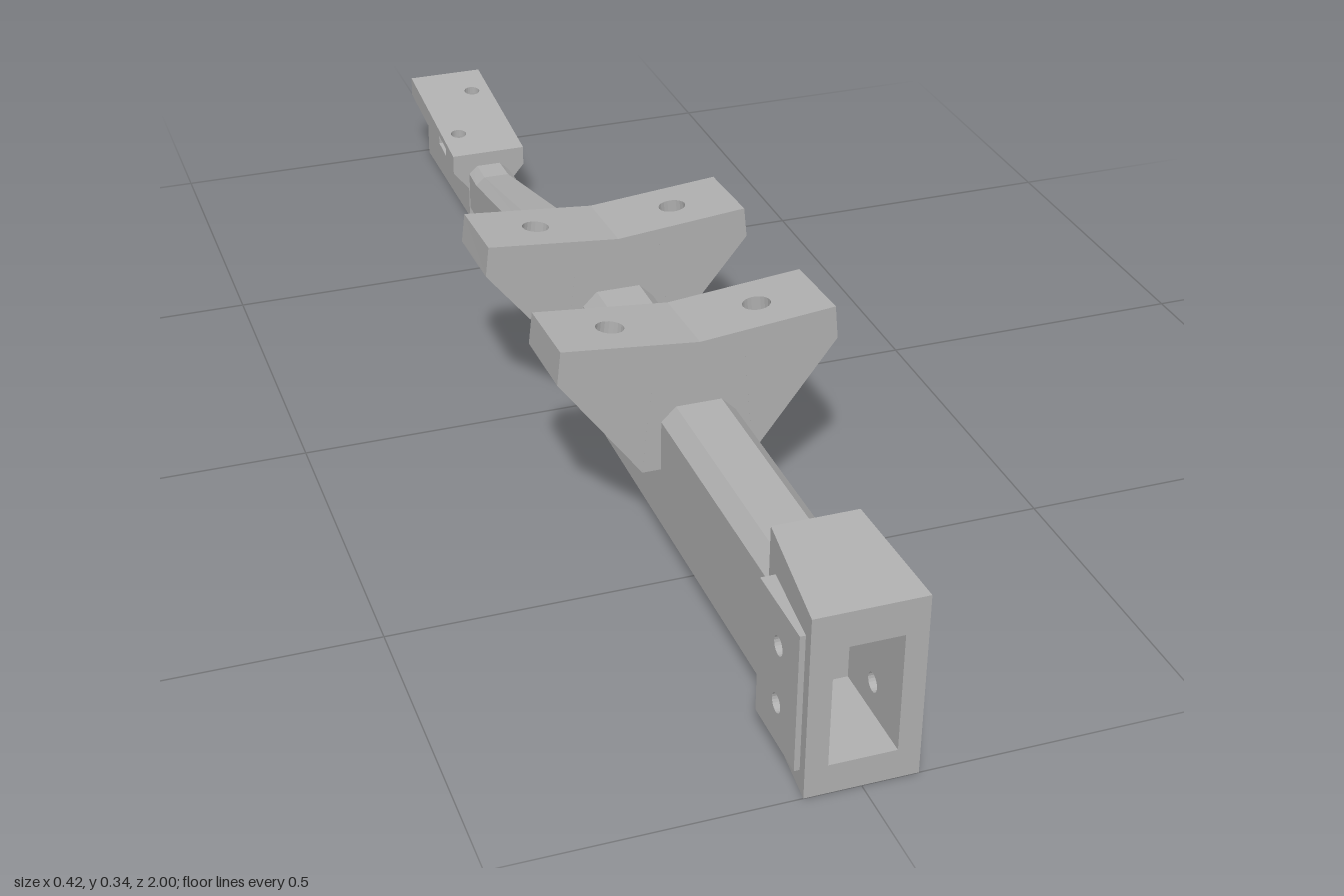
import * as THREE from 'three';

const grey = new THREE.MeshStandardMaterial({ color: 0xb0b0b0 });
grey.name = 'plain grey';

function polygon(points) {
  return new THREE.Shape(points.map(([x, y]) => new THREE.Vector2(x, y)));
}

function addHole(shape, x, y, r, sides = 20) {
  const pts = [];
  for (let i = 0; i < sides; i++) {
    const a = (i / sides) * Math.PI * 2;
    pts.push(new THREE.Vector2(x + r * Math.cos(a), y + r * Math.sin(a)));
  }
  shape.holes.push(new THREE.Path(pts));
  return shape;
}

function extrude(shape, depth) {
  return new THREE.ExtrudeGeometry(shape, { depth, bevelEnabled: false });
}

// Move every vertex by a rule, then refresh the flat normals
function reshape(geo, rule) {
  const p = geo.attributes.position;
  for (let i = 0; i < p.count; i++) p.setXYZ(i, ...rule(p.getX(i), p.getY(i), p.getZ(i)));
  geo.computeVertexNormals();
  return geo;
}

// Extrude a side profile given as (-z, y) across x0..x1
function acrossX(shape, x0, x1) {
  return extrude(shape, x1 - x0).rotateY(Math.PI / 2).translate(x0, 0, 0);
}

function add(group, name, geo) {
  const mesh = new THREE.Mesh(geo, grey);
  mesh.name = name;
  group.add(mesh);
}

function subgroup(parent, name) {
  const g = new THREE.Group();
  g.name = name;
  parent.add(g);
  return g;
}

// Eight-sided tapering beam: z, half width, top, shoulder, flat half width, lower chamfer
function beamGeometry() {
  const stations = [
    [0.83, 0.057, 0.222, 0.2, 0.035, 0.03],
    [-0.1, 0.057, 0.222, 0.2, 0.035, 0.027],
    [-0.65, 0.038, 0.1, 0.086, 0.022, 0.019],
    [-0.72, 0.036, 0.1, 0.086, 0.021, 0.018],
  ];
  const pos = [], index = [];
  for (const [z, w, top, sh, f, c] of stations) {
    const ring = [[f, 0], [w, c], [w, sh], [f, top], [-f, top], [-w, sh], [-w, c], [-f, 0]];
    for (const [x, y] of ring) pos.push(x, y, z);
  }
  for (let s = 0; s < stations.length - 1; s++) {
    for (let i = 0; i < 8; i++) {
      const a = s * 8 + i, b = s * 8 + (i + 1) % 8;
      index.push(a, a + 8, b, b, a + 8, b + 8);
    }
  }
  const geo = new THREE.BufferGeometry();
  geo.setAttribute('position', new THREE.Float32BufferAttribute(pos, 3));
  geo.setIndex(index);
  const flat = geo.toNonIndexed();
  flat.computeVertexNormals();
  return flat;
}

// Hollow socket at the front end with drilled side plates
function buildSocket(parent) {
  const g = subgroup(parent, 'frontSocket');
  add(g, 'socketCore', acrossX(polygon([
    [-1, 0], [-0.82, 0], [-0.82, 0.295], [-1, 0.278],
    [-1, 0.225], [-0.84, 0.225], [-0.84, 0.045], [-1, 0.045],
  ]), -0.048, 0.048));
  const drill = (s) => [0.09, 0.18].reduce((sh, y) => addHole(sh, -0.915, y, 0.014), s);
  for (const side of [1, -1]) {
    const wall = drill(polygon([[-1, 0], [-0.82, 0], [-0.82, 0.295], [-1, 0.278]]));
    const plate = drill(polygon([[-0.98, 0.03], [-0.848, 0.03], [-0.848, 0.24], [-0.98, 0.24]]));
    const span = (a, b) => (side > 0 ? [a, b] : [-b, -a]);
    add(g, 'socketWall', reshape(acrossX(wall, ...span(0.048, 0.08)), (x, y, z) =>
      [Math.abs(x) > 0.06 ? side * (0.08 - (1 - z) * 0.1) : x, y, z]));
    add(g, 'sidePlate', acrossX(plate, ...span(0.05, 0.086)));
  }
}

// V-shaped saddle with tilted bolt holes and hexagonal nut pockets
function buildSaddle(parent, name, zMid, heightScale) {
  const g = subgroup(parent, name);
  const half = 0.068, k = 1.339;
  const fit = (x, y, z) => [x, 0.12 + (y - 0.12) * (heightScale + 0.27 * z), z + zMid];
  const core = extrude(polygon([
    [-0.0858, 0.12], [0.0858, 0.12], [0.065, 0.3285], [0, 0.322], [-0.065, 0.3285],
  ]), half * 2).translate(0, 0, -half);
  add(g, 'saddleCore', reshape(core, fit));

  const top = () => 0;
  const seat = () => 0.05;
  const under = (u) => (0.202 + 0.1 * u - k * (u - 0.085)) / (1 + 0.1 * k);
  const layers = [['saddleWing', top, seat, 0.021, 20], ['nutPocketWing', seat, under, 0.034, 6]];
  for (const side of [1, -1]) {
    for (const [part, from, to, r, sides] of layers) {
      const shape = addHole(polygon([[0.065, -half], [0.207, -half], [0.207, half], [0.065, half]]),
        0.112, 0, r, sides);
      add(g, part, reshape(extrude(shape, 1), (u, w, s) => {
        const t = from(u) * (1 - s) + to(u) * s;
        return fit(side * (u + 0.1 * t), 0.322 + 0.1 * u - t, side * w);
      }));
    }
  }
}

// Tilted head with bolt holes and side nut slots, on a drilled stem
function buildTail(parent) {
  const g = subgroup(parent, 'tailMount');
  const w = 0.066, z0 = -0.7, z1 = -0.995;
  const tilt = (x, y, z) => [x, y - 0.108 * (z - z0), z];
  // Plan shapes use (x, -z)
  const layer = (name, shape, y0, y1) =>
    add(g, name, reshape(extrude(shape, y1 - y0).rotateX(-Math.PI / 2).translate(0, y0, 0), tilt));
  const rect = () => polygon([[-w, -z0], [w, -z0], [w, -z1], [-w, -z1]]);
  const cap = addHole(addHole(rect(), 0.032, 0.92, 0.014), -0.035, 0.775, 0.014);
  layer('headTop', cap, 0.113, 0.125);
  const slotted = polygon([
    [-w, 0.7], [w, 0.7], [w, 0.897], [0.012, 0.897], [0.012, 0.943], [w, 0.943],
    [w, 0.995], [-w, 0.995], [-w, 0.798], [-0.012, 0.798], [-0.012, 0.752], [-w, 0.752],
  ]);
  layer('headNutSlots', slotted, 0.098, 0.113);
  const lower = extrude(polygon([
    [-0.036, 0.055], [0.036, 0.055], [w, 0.091], [w, 0.098], [-w, 0.098], [-w, 0.091],
  ]), z0 - z1).translate(0, 0, z1);
  add(g, 'headUnderside', reshape(lower, tilt));
  const stem = addHole(polygon([[0.7, 0], [0.99, 0], [0.99, 0.095], [0.7, 0.064]]),
    0.92, 0.066, 0.015, 6);
  add(g, 'stem', acrossX(stem, -0.038, 0.038));
}

export function createModel() {
  const model = new THREE.Group();
  model.name = 'mountingBeam';
  add(model, 'beam', beamGeometry());
  buildSocket(model);
  buildSaddle(model, 'frontSaddle', 0.327, 0.982);
  buildSaddle(model, 'rearSaddle', -0.033, 0.915);
  buildTail(model);
  return model;
}
